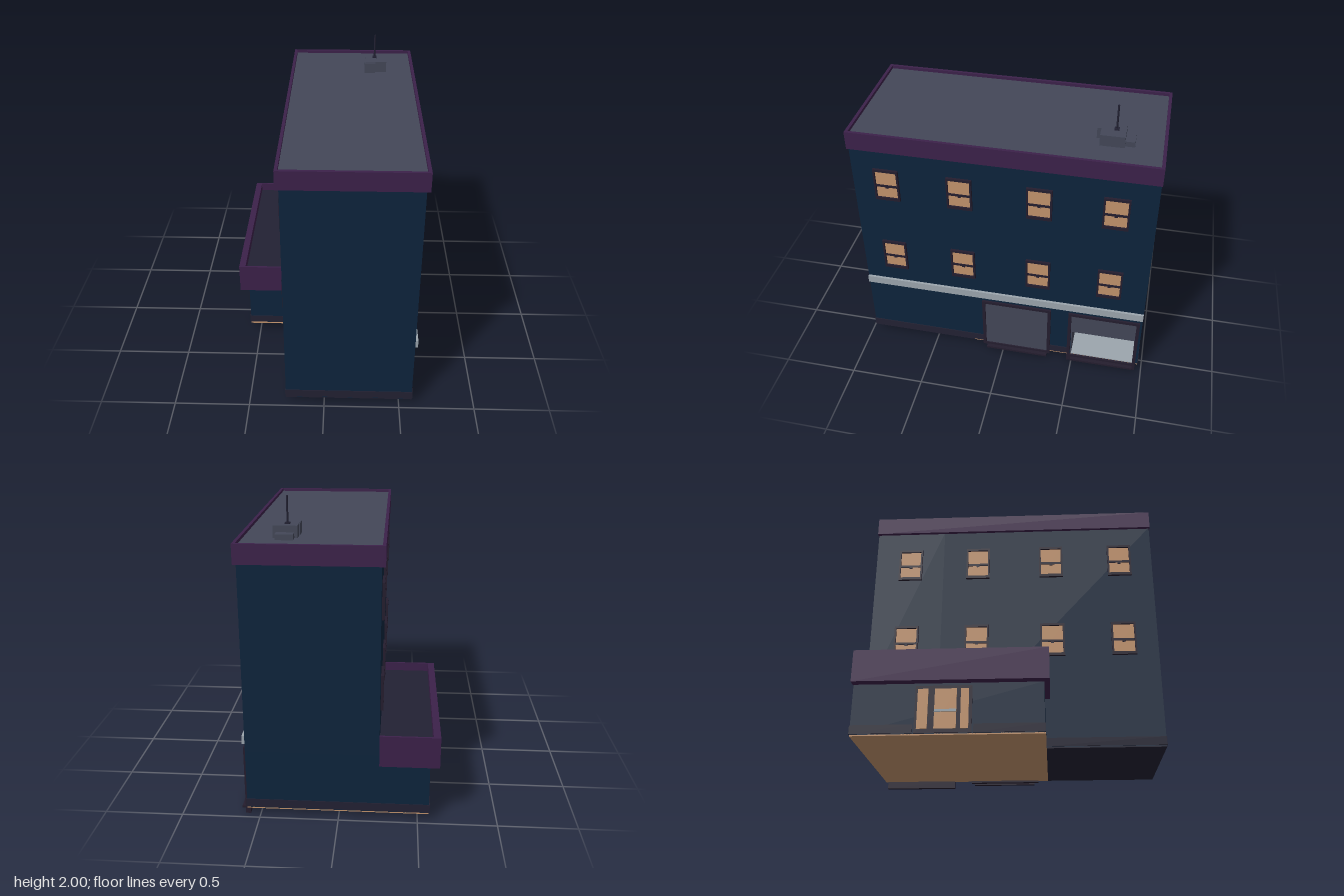
import * as THREE from 'three';

export function createModel() {
  const root = new THREE.Group();
  root.name = 'building';
  const mat = (name, color) => {
    const m = new THREE.MeshStandardMaterial({ color });
    m.name = name;
    return m;
  };
  const navy = mat('navy wall', 0x0d243c);
  const purple = mat('purple parapet', 0x3c214a);
  const slate = mat('slate', 0x434758);
  const trim = mat('dark trim', 0x222133);
  const frame = mat('dark frame', 0x241d2e);
  const tan = mat('tan glass', 0xc2936c);
  const pale = mat('pale grey', 0x9ba5ad);

  // box given by its limits on each axis
  const box = (name, m, x0, x1, y0, y1, z0, z1, parent = root) => {
    const g = new THREE.BoxGeometry(x1 - x0, y1 - y0, z1 - z0);
    const mesh = new THREE.Mesh(g, m);
    mesh.position.set((x0 + x1) / 2, (y0 + y1) / 2, (z0 + z1) / 2);
    mesh.name = name;
    parent.add(mesh);
    return mesh;
  };
  const group = (name) => {
    const g = new THREE.Group();
    g.name = name;
    root.add(g);
    return g;
  };

  // main block, left open around the loading bay
  const X0 = -0.255, X1 = 0.583, Z = 0.97;
  const walls = group('mainWalls');
  box('frontBlock', navy, X0, X1, 0.055, 1.66, -0.49, Z, walls);
  box('backUpperBlock', navy, X0, X1, 0.45, 1.66, -Z, -0.49, walls);
  box('backLowerBlock', navy, X0, 0.25, 0.055, 0.45, -Z, -0.49, walls);
  box('backJamb', navy, 0.25, X1, 0.055, 0.45, -Z, -0.94, walls);

  // loading bay interior
  const bay = group('loadingBay');
  box('bayBack', slate, 0.25, 0.256, 0.055, 0.45, -0.94, -0.49, bay);
  box('bayFloor', pale, 0.25, X1, 0.05, 0.062, -0.94, -0.49, bay);
  box('bayCeiling', trim, 0.25, X1, 0.44, 0.45, -0.94, -0.49, bay);
  box('baySide', slate, 0.25, X1, 0.055, 0.45, -0.94, -0.934, bay);
  box('baySide', slate, 0.25, X1, 0.055, 0.45, -0.496, -0.49, bay);

  // floor slabs
  box('frontFloor', trim, X0, X1, 0.048, 0.056, 0.215, Z);
  box('backFloor', tan, X0, X1, 0.048, 0.056, -Z, 0.215);
  box('sideFloor', tan, -0.57, X0, 0.048, 0.056, -Z, 0.215);

  // roof with a raised rim
  const roof = (name, top, x0, x1, y0, y1, z0, z1, deckY, tx0, tx1, tz) => {
    const g = group(name);
    box('rimRight', purple, x0, x0 + tx0, y0, y1, z0, z1, g);
    if (tx1) box('rimLeft', purple, x1 - tx1, x1, y0, y1, z0, z1, g);
    box('rimBack', purple, x0 + tx0, x1 - tx1, y0, y1, z0, z0 + tz, g);
    box('rimFront', purple, x0 + tx0, x1 - tx1, y0, y1, z1 - tz, z1, g);
    box('soffit', purple, x0 + tx0, x1 - tx1, y0, y0 + 0.02, z0 + tz, z1 - tz, g);
    box('deck', top, x0 + tx0, x1 - tx1, y0 + 0.02, deckY, z0 + tz, z1 - tz, g);
  };
  roof('mainRoof', slate, -0.278, 0.605, 1.652, 1.775, -0.975, 0.975, 1.755, 0.02, 0.02, 0.02);
  roof('sideRoof', trim, -0.63, X0, 0.378, 0.585, -0.975, 0.243, 0.525, 0.045, 0, 0.014);

  // low side extension
  box('extensionWall', navy, -0.57, X0, 0.055, 0.38, -Z, 0.21);

  // skirting bands
  const skirt = group('skirting');
  box('skirtFront', trim, X0 - 0.004, X1 + 0.005, 0.06, 0.115, Z, Z + 0.004, skirt);
  box('skirtBack', trim, -0.575, X1 + 0.005, 0.06, 0.115, -Z - 0.004, -Z, skirt);
  box('skirtLeft', trim, X1, X1 + 0.005, 0.06, 0.115, 0.14, Z, skirt);
  box('skirtLeftMiddle', trim, X1, X1 + 0.005, 0.06, 0.115, -0.465, -0.34, skirt);
  box('skirtRight', trim, X0 - 0.004, X0, 0.06, 0.115, 0.21, Z, skirt);
  box('skirtExtension', trim, -0.576, -0.57, 0.06, 0.115, -Z, -0.59, skirt);
  box('skirtExtension', trim, -0.576, -0.57, 0.06, 0.115, -0.22, 0.21, skirt);
  box('skirtExtensionFront', trim, -0.576, X0, 0.06, 0.115, 0.21, 0.214, skirt);

  // pale band above the bays
  box('paleBand', pale, X1, 0.6, 0.503, 0.558, -Z, Z);

  // sash windows on both long sides
  const sash = (s, wall, y, z) => {
    const g = group('window');
    const b = (name, m, d0, d1, y0, y1, z0, z1) => {
      const a = wall + s * d0, c = wall + s * d1;
      box(name, m, Math.min(a, c), Math.max(a, c), y + y0, y + y1, z + z0, z + z1, g);
    };
    b('glass', tan, 0, 0.006, -0.107, 0.107, -0.072, 0.072);
    b('sill', frame, 0, 0.017, -0.12, -0.1, -0.082, 0.082);
    b('lintel', frame, 0, 0.017, 0.1, 0.116, -0.082, 0.082);
    b('jamb', frame, 0, 0.017, -0.1, 0.1, -0.082, -0.07);
    b('jamb', frame, 0, 0.017, -0.1, 0.1, 0.07, 0.082);
    b('sashBar', frame, 0, 0.011, -0.019, -0.003, -0.07, 0.07);
    b('latch', frame, 0, 0.011, -0.028, -0.019, -0.01, 0.01);
  };
  for (const y of [0.798, 1.395])
    for (const z of [0.744, 0.267, -0.245, -0.723]) {
      sash(1, X1, y, z);
      sash(-1, X0, y, z);
    }

  // bay frames, shutters and sills
  const shutter = (name, z0, z1, bottom, doorBottom) => {
    const g = group(name);
    box('post', frame, 0.57, 0.597, bottom, 0.47, z0, z0 + 0.022, g);
    box('post', frame, 0.57, 0.597, bottom, 0.47, z1 - 0.022, z1, g);
    box('header', frame, 0.57, 0.597, 0.45, 0.47, z0, z1, g);
    box('sill', frame, 0.565, 0.597, bottom, 0.055, z0, z1, g);
    box('lip', frame, 0.597, 0.622, 0.025, 0.04, z0 + 0.02, z1 - 0.03, g);
    box('shutterPanel', slate, 0.575, 0.589, doorBottom, 0.45, z0 + 0.022, z1 - 0.022, g);
  };
  shutter('closedBay', -0.342, 0.145, 0.035, 0.055);
  shutter('openBay', -0.955, -0.465, 0, 0.29);

  // entrance under the overhang
  const door = group('entrance');
  box('doorFrame', frame, -0.577, -0.57, 0.06, 0.36, -0.58, -0.23, door);
  for (const [a, b] of [[-0.565, -0.5], [-0.46, -0.325], [-0.3, -0.25]])
    box('doorGlass', tan, -0.581, -0.576, 0.085, 0.34, a, b, door);
  box('pushBar', pale, -0.59, -0.581, 0.19, 0.205, -0.46, -0.325, door);

  // rooftop unit and mast
  const unit = group('roofUnit');
  box('unitBody', slate, 0.255, 0.405, 1.75, 1.83, -0.725, -0.572, unit);
  box('unitBack', slate, 0.275, 0.385, 1.75, 1.79, -0.785, -0.725, unit);
  box('unitFront', slate, 0.25, 0.327, 1.75, 1.828, -0.65, -0.547, unit);
  box('mastBase', trim, 0.307, 0.337, 1.83, 1.838, -0.68, -0.65, unit);
  const mast = new THREE.Mesh(new THREE.CylinderGeometry(0.006, 0.006, 0.17, 8), trim);
  mast.name = 'mast';
  mast.position.set(0.322, 1.915, -0.665);
  unit.add(mast);

  return root;
}
